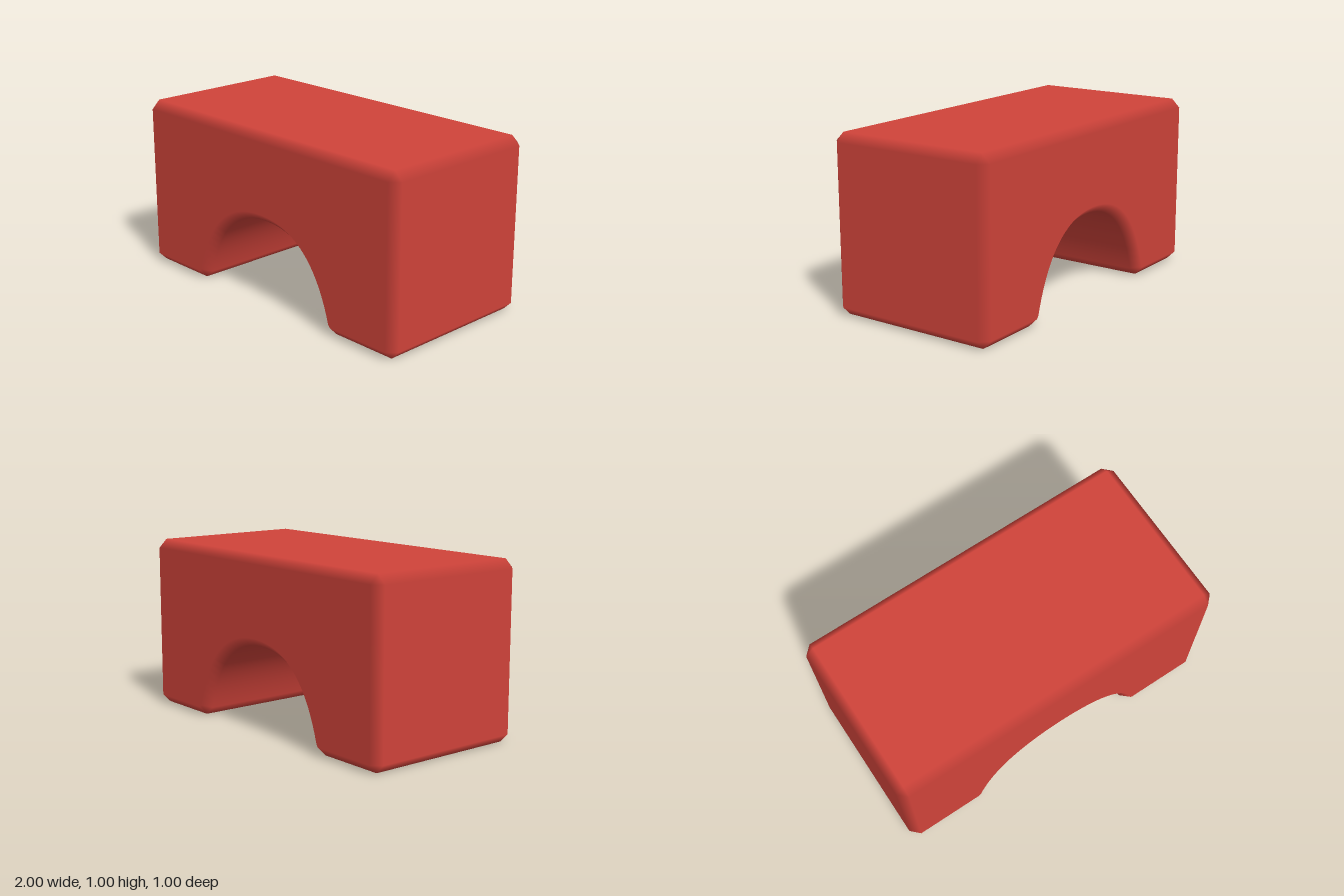
import * as THREE from 'three';

const BEVEL = 0.05, HALF_DEPTH = 0.5;

// Counter-clockwise outline: each entry has a point and its outward normal.
function outline() {
  const ring = [];
  const edge = (x1, y1, x2, y2) => {
    const t = new THREE.Vector2(x2 - x1, y2 - y1).normalize();
    const n = new THREE.Vector2(t.y, -t.x);
    ring.push({ q: new THREE.Vector2(x1, y1), n }, { q: new THREE.Vector2(x2, y2), n });
  };
  edge(0.55, 0, 0.95, 0);      // right foot
  edge(1, 0.05, 1, 0.95);      // right end
  edge(0.95, 1, -0.95, 1);     // top
  edge(-1, 0.95, -1, 0.05);    // left end
  edge(-0.95, 0, -0.55, 0);    // left foot

  // arch, left foot to right foot
  const v = (x, y) => new THREE.Vector2(x, y);
  const halves = [
    new THREE.CubicBezierCurve(v(-0.49, 0.05), v(-0.42, 0.3), v(-0.29, 0.49), v(0, 0.49)),
    new THREE.CubicBezierCurve(v(0, 0.49), v(0.29, 0.49), v(0.42, 0.3), v(0.49, 0.05)),
  ];
  halves.forEach((curve, h) => {
    for (let i = h; i <= 16; i++) {
      const t = curve.getTangent(i / 16);
      ring.push({ q: curve.getPoint(i / 16), n: v(t.y, -t.x) });
    }
  });
  return ring;
}

// Chamfered block: flat faces keep their own normals, chamfers blend between them.
function archGeometry() {
  const ring = outline(), count = ring.length;
  const inset = ring.map(({ q, n }) => q.clone().addScaledVector(n, -BEVEL));
  const pos = [], nor = [], idx = [];
  const inner = HALF_DEPTH - BEVEL;

  // four rows from back cap edge to front cap edge
  [[-HALF_DEPTH, -1], [-inner, 0], [inner, 0], [HALF_DEPTH, 1]].forEach(([z, cap]) => {
    ring.forEach(({ q, n }, i) => {
      const p = cap ? inset[i] : q;
      pos.push(p.x, p.y, z);
      nor.push(cap ? 0 : n.x, cap ? 0 : n.y, cap);
    });
  });
  for (let r = 0; r < 3; r++) {
    for (let i = 0; i < count; i++) {
      const j = (i + 1) % count;
      const a = r * count + i, b = r * count + j;
      idx.push(a, b, b + count, a, b + count, a + count);
    }
  }
  // front and back caps
  for (const [a, b, c] of THREE.ShapeUtils.triangulateShape(inset.slice(), [])) {
    const f = 3 * count;
    idx.push(f + a, f + b, f + c, c, b, a);
  }

  const g = new THREE.BufferGeometry();
  g.setAttribute('position', new THREE.Float32BufferAttribute(pos, 3));
  g.setAttribute('normal', new THREE.Float32BufferAttribute(nor, 3));
  g.setIndex(idx);
  return g;
}

export function createModel() {
  const red = new THREE.MeshStandardMaterial({ color: 0xd0433a });
  red.name = 'red paint';
  const block = new THREE.Mesh(archGeometry(), red);
  block.name = 'archBlock';
  const model = new THREE.Group();
  model.name = 'toyArch';
  model.add(block);
  return model;
}
